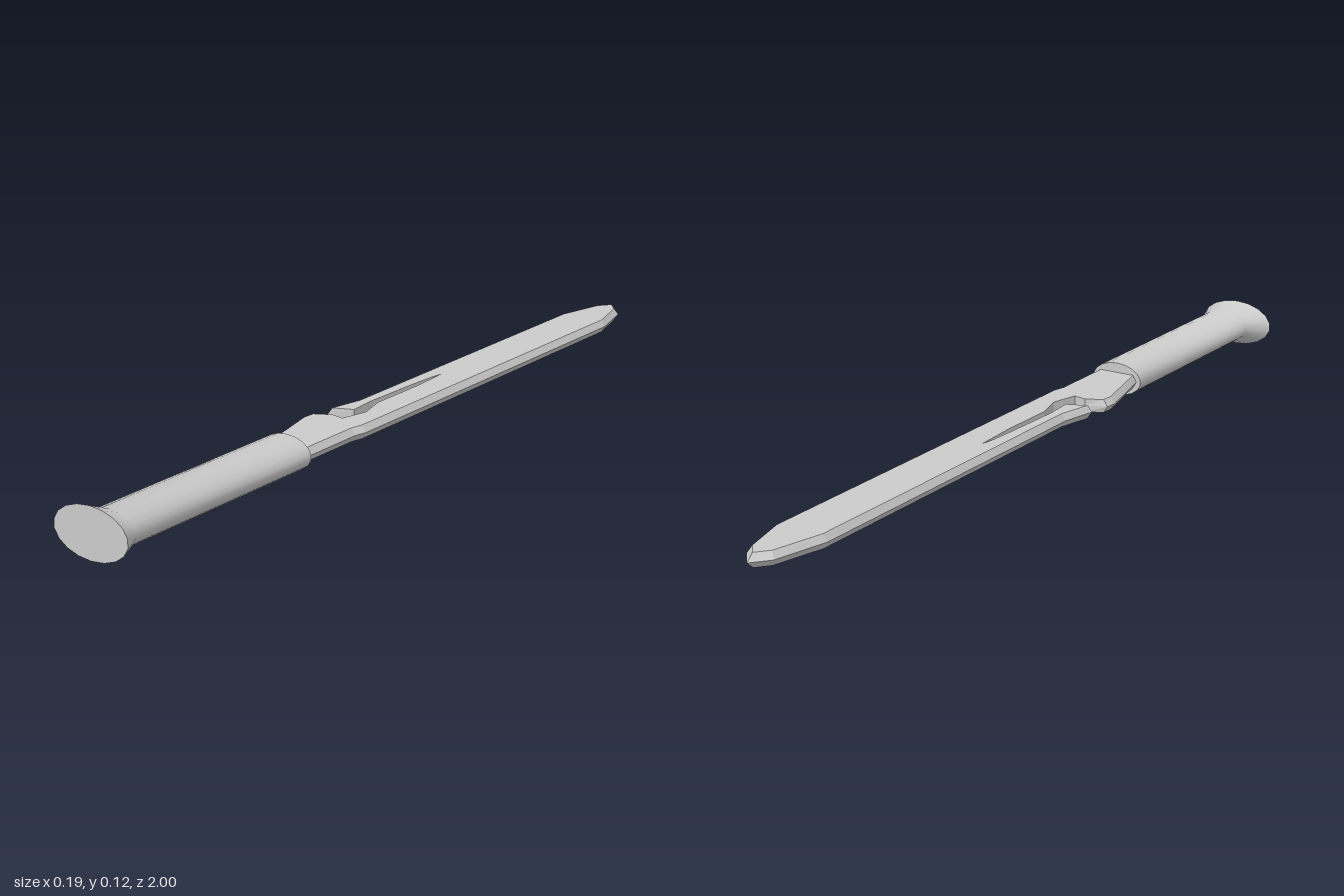
import * as THREE from 'three';
import { toCreasedNormals } from 'three/addons/utils/BufferGeometryUtils.js';

const MID_Y = 0.059;
const material = new THREE.MeshStandardMaterial({ color: 0xcccccc });

// Blade outline, counterclockwise from above: [x, z, bevel inset in x, bevel inset in z]
const OUTLINE = [
  // plain edge up to the tip
  [0.069, 0.42, -0.01, 0], [0.069, 0.23, -0.01, 0], [0.076, 0.2, -0.01, 0],
  [0.076, -0.84, -0.01, 0], [0.046, -0.96, -0.009, 0.008], [0.012, -1, 0, 0.018],
  // barbed edge back down
  [-0.022, -0.96, 0.009, 0.008], [-0.052, -0.83, 0.01, 0], [-0.052, 0.06, 0.01, 0],
  [-0.07, 0.147, 0.01, -0.005],
  // slit and round notch with upright walls
  [-0.013, 0.123, 0, 0], [-0.018, 0.05, 0, 0], [-0.014, -0.1, 0, 0],
  [-0.01, -0.18, 0, 0], [-0.005, -0.215, 0, 0], [0.001, -0.1, 0, 0],
  [0, 0.05, 0, 0], [0.019, 0.12, 0, 0], [0.002, 0.187, 0, 0], [-0.03, 0.18, 0, 0],
  // shoulder running into the handle
  [-0.08, 0.2, 0.011, 0], [-0.082, 0.23, 0.011, 0], [-0.037, 0.42, 0.01, 0],
];

function bladeGeometry(halfThickness) {
  const ring = (y, inset) => OUTLINE.map(([x, z, dx, dz]) =>
    new THREE.Vector3(x + dx * inset, MID_Y + y, z + dz * inset));
  const bottom = ring(-halfThickness, 1);
  const middle = ring(0, 0);
  const top = ring(halfThickness, 1);
  const points = [];

  // two bands of side walls meeting at the cutting edge
  for (const [lo, hi] of [[bottom, middle], [middle, top]]) {
    lo.forEach((p, i) => {
      const j = (i + 1) % lo.length;
      points.push(p, lo[j], hi[j], p, hi[j], hi[i]);
    });
  }
  // flat faces
  const flat = top.map((p) => new THREE.Vector2(p.x, -p.z));
  for (const [a, b, c] of THREE.ShapeUtils.triangulateShape(flat, [])) {
    points.push(top[a], top[b], top[c], bottom[a], bottom[c], bottom[b]);
  }
  const geometry = new THREE.BufferGeometry().setFromPoints(points);
  geometry.computeVertexNormals();
  return geometry;
}

// Oval grip whose last section flares into a wide pommel
function handleGeometry() {
  const rings = [
    { z: 0.4, cx: 0.013, rx: 0.066, ry: 0.04 },
    { z: 0.955, cx: 0.013, rx: 0.066, ry: 0.04 },
    { z: 1, cx: 0, rx: 0.098, ry: 0.058 },
  ];
  const geometry = new THREE.CylinderGeometry(1, 1, 2, 18, 2);
  geometry.rotateX(Math.PI / 2);
  const pos = geometry.attributes.position;
  for (let i = 0; i < pos.count; i++) {
    const r = rings[Math.round(pos.getZ(i)) + 1];
    pos.setXYZ(i, r.cx + pos.getX(i) * r.rx, MID_Y + pos.getY(i) * r.ry, r.z);
  }
  return toCreasedNormals(geometry, 0.9);
}

export function createModel() {
  const group = new THREE.Group();
  const add = (name, geometry) => {
    const mesh = new THREE.Mesh(geometry, material);
    mesh.name = name;
    group.add(mesh);
  };
  add('blade', bladeGeometry(0.016));
  add('handle', handleGeometry());
  return group;
}
